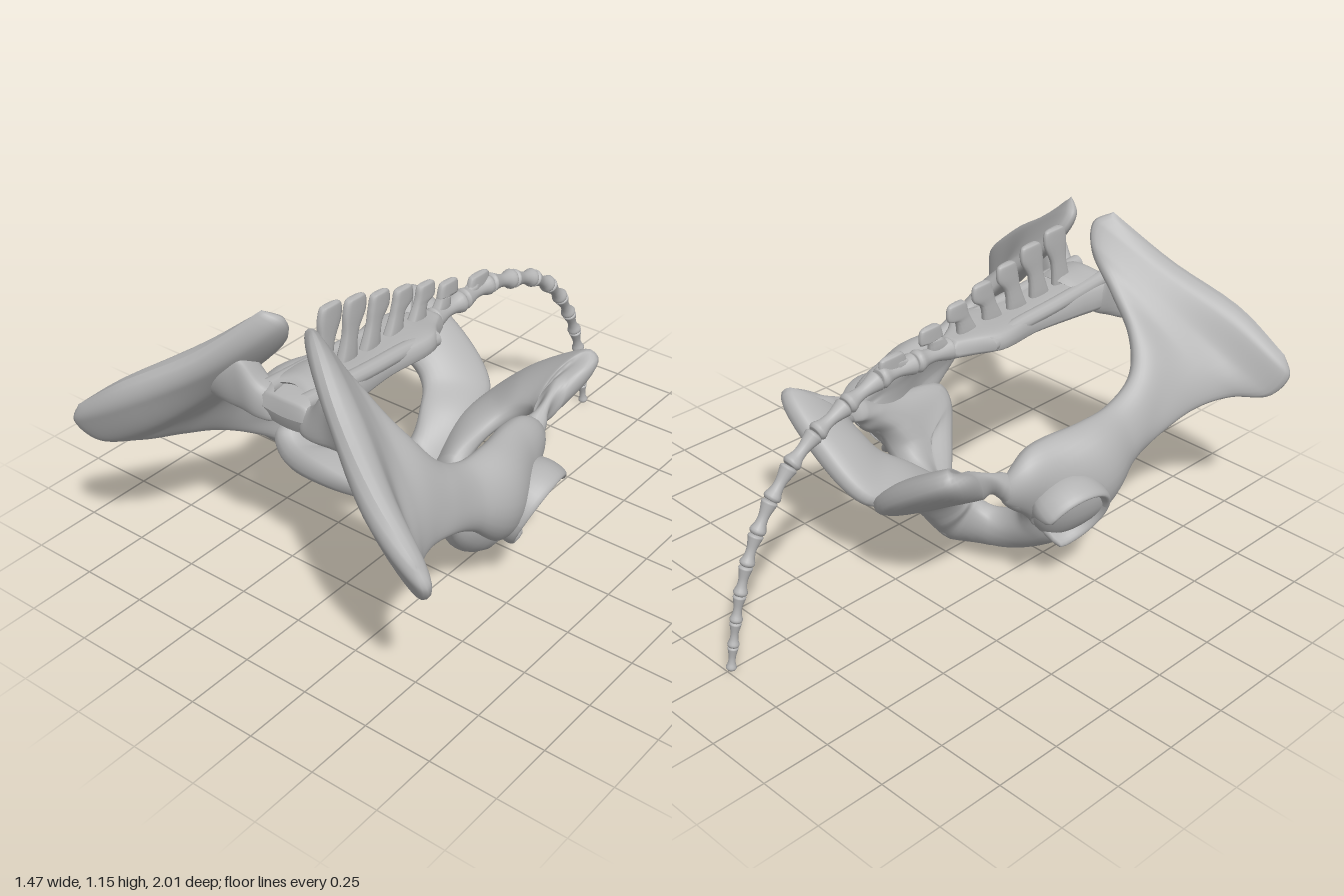
import * as THREE from 'three';

const V = (x, y, z) => new THREE.Vector3(x, y, z);
const bone = new THREE.MeshStandardMaterial({ color: 0xb4b4b4 });
bone.name = 'bone grey';

// Smooth bony blade. Each row is a cross-section: points from edge to edge, then the thickness.
// Open blades round off at both ends, closed ones form a ring around a hole.
function blade(rows, { side = 1, closed = false, round = 0.7, sub = 7, seg = 28, flat = 0.75 } = {}) {
  const cols = [];
  for (let k = 0; k < rows[0].length - 1; k += 3) {
    cols.push(new THREE.CatmullRomCurve3(rows.map(r => V(r[k] * side, r[k + 1], r[k + 2])), closed));
  }
  const thick = new THREE.CatmullRomCurve3(rows.map((r, i) => V(r[r.length - 1], closed ? 0 : i * 0.1, 0)), closed);
  const section = t => new THREE.CatmullRomCurve3(cols.map(c => c.getPoint(t)));
  const spans = closed ? rows.length : rows.length - 1;
  const n = spans * sub, lines = closed ? n : n + 1, e = 0.004;
  const lim = t => closed ? t : Math.min(1, Math.max(0, t));
  const pos = [], idx = [];
  for (let i = 0; i < lines; i++) {
    const t = i / n;
    const d = closed ? round : Math.min(t, 1 - t) * spans;
    const cap = d < round ? Math.sqrt(Math.max(0, 1 - (1 - d / round) ** 2)) : 1;
    const half = thick.getPoint(t).x * 0.5 * cap;
    const here = section(t), ahead = section(lim(t + e)), behind = section(lim(t - e));
    for (let j = 0; j < seg; j++) {
      const ang = j / seg * Math.PI * 2, s = 0.5 - 0.5 * Math.cos(ang), sn = Math.sin(ang);
      const ds = here.getPoint(Math.min(1, s + e)).sub(here.getPoint(Math.max(0, s - e)));
      const dt = ahead.getPoint(s).sub(behind.getPoint(s));
      const nor = ds.cross(dt).normalize();
      const p = here.getPoint(s).addScaledVector(nor, Math.sign(sn) * Math.abs(sn) ** flat * half);
      pos.push(p.x, p.y, p.z);
    }
  }
  for (let i = 0; i < n; i++) for (let j = 0; j < seg; j++) {
    const k = (j + 1) % seg, r0 = i * seg, r1 = ((i + 1) % lines) * seg;
    idx.push(r0 + j, r0 + k, r1 + j, r0 + k, r1 + k, r1 + j);
  }
  // keep faces outward by checking the enclosed volume
  let vol = 0;
  const pt = i => V(pos[3 * i], pos[3 * i + 1], pos[3 * i + 2]);
  for (let i = 0; i < idx.length; i += 3) vol += pt(idx[i]).dot(pt(idx[i + 1]).cross(pt(idx[i + 2])));
  if (vol < 0) idx.reverse();
  const g = new THREE.BufferGeometry();
  g.setAttribute('position', new THREE.Float32BufferAttribute(pos, 3));
  g.setIndex(idx);
  g.computeVertexNormals();
  return g;
}

// Hip socket: a turned cup whose lower rear rim is worn away into a notch
function socket(side) {
  const prof = [[0.07, -0.13], [0.125, -0.1], [0.152, -0.05], [0.157, 0.005], [0.148, 0.03],
    [0.132, 0.025], [0.115, -0.01], [0.085, -0.045], [0.045, -0.065], [0.0, -0.07]];
  const curve = new THREE.SplineCurve(prof.map(p => new THREE.Vector2(...p)));
  const g = new THREE.LatheGeometry(curve.getPoints(28).map(p => p.setX(Math.max(0, p.x))), 40);
  const axis = V(0.87 * side, -0.42, -0.12).normalize();
  g.applyQuaternion(new THREE.Quaternion().setFromUnitVectors(V(0, 1, 0), axis));
  const notch = V(0, -0.6, -0.8).projectOnPlane(axis).normalize(), p = g.attributes.position;
  for (let i = 0; i < p.count; i++) {
    const v = V(0, 0, 0).fromBufferAttribute(p, i), h = v.dot(axis);
    const flatPart = v.clone().projectOnPlane(axis);
    const k = THREE.MathUtils.smoothstep(flatPart.clone().normalize().dot(notch), 0.5, 0.95);
    v.addScaledVector(axis, -k * Math.max(0, h + 0.07) * 0.9).addScaledVector(flatPart, -0.25 * k);
    p.setXYZ(i, v.x, v.y, v.z);
  }
  g.computeVertexNormals();
  return g.translate(0.495 * side, 0.335, 0.105);
}

// from the crest of the wing, through the shaft, to behind the socket
const ILIUM = [
  [0.10, 1.15, 0.73, 0.29, 0.985, 0.845, 0.52, 0.845, 0.955, 0.70, 0.71, 0.99, 0.10],
  [0.05, 1.115, 0.685, 0.29, 0.93, 0.80, 0.52, 0.78, 0.925, 0.735, 0.64, 0.985, 0.11],
  [0.075, 1.04, 0.645, 0.30, 0.86, 0.74, 0.50, 0.69, 0.86, 0.69, 0.56, 0.94, 0.10],
  [0.19, 0.93, 0.62, 0.33, 0.80, 0.69, 0.48, 0.66, 0.77, 0.59, 0.55, 0.85, 0.085],
  [0.31, 0.81, 0.59, 0.39, 0.73, 0.62, 0.47, 0.62, 0.67, 0.53, 0.53, 0.72, 0.08],
  [0.385, 0.69, 0.52, 0.435, 0.63, 0.53, 0.47, 0.55, 0.55, 0.50, 0.48, 0.57, 0.08],
  [0.395, 0.62, 0.40, 0.44, 0.56, 0.40, 0.47, 0.47, 0.41, 0.46, 0.385, 0.41, 0.10],
  [0.385, 0.60, 0.25, 0.46, 0.53, 0.25, 0.49, 0.40, 0.26, 0.43, 0.25, 0.25, 0.13],
  [0.37, 0.60, 0.10, 0.42, 0.51, 0.10, 0.43, 0.36, 0.12, 0.38, 0.21, 0.13, 0.13],
  [0.36, 0.58, 0.01, 0.40, 0.51, 0.0, 0.39, 0.42, 0.0, 0.36, 0.33, 0.02, 0.11],
  [0.365, 0.51, -0.09, 0.375, 0.48, -0.10, 0.375, 0.45, -0.10, 0.36, 0.42, -0.09, 0.08],
];
// cross-sections running around the opening in the pelvic floor, hole edge to outer edge
const FLOOR = [
  [0.325, 0.42, -0.05, 0.37, 0.43, -0.02, 0.42, 0.44, 0.02, 0.12],
  [0.325, 0.36, 0.02, 0.38, 0.33, 0.15, 0.415, 0.40, 0.36, 0.15],
  [0.30, 0.29, 0.055, 0.35, 0.24, 0.18, 0.37, 0.33, 0.38, 0.17],
  [0.25, 0.25, 0.06, 0.29, 0.185, 0.15, 0.275, 0.22, 0.30, 0.15],
  [0.17, 0.235, 0.06, 0.18, 0.14, 0.09, 0.17, 0.125, 0.19, 0.12],
  [0.12, 0.27, 0.03, 0.06, 0.16, 0.02, -0.02, 0.06, 0.03, 0.10],
  [0.11, 0.30, -0.01, 0.05, 0.24, -0.04, -0.02, 0.18, -0.07, 0.10],
  [0.14, 0.36, -0.09, 0.06, 0.335, -0.14, -0.02, 0.31, -0.19, 0.09],
  [0.18, 0.41, -0.16, 0.10, 0.39, -0.26, 0.02, 0.365, -0.36, 0.10],
  [0.23, 0.445, -0.19, 0.21, 0.48, -0.30, 0.19, 0.51, -0.42, 0.12],
  [0.29, 0.47, -0.19, 0.35, 0.565, -0.29, 0.41, 0.66, -0.385, 0.11],
  [0.33, 0.465, -0.15, 0.35, 0.53, -0.20, 0.365, 0.60, -0.24, 0.08],
  [0.33, 0.45, -0.10, 0.355, 0.49, -0.10, 0.38, 0.53, -0.10, 0.08],
];
// z, half width, height and thickness along the fused vertebrae
const SACRUM = [[0.77, 0.10, 0.825, 0.11], [0.70, 0.12, 0.83, 0.13], [0.58, 0.115, 0.835, 0.13],
  [0.36, 0.10, 0.83, 0.10], [0.16, 0.125, 0.835, 0.09], [0.07, 0.07, 0.83, 0.08], [0.0, 0.035, 0.83, 0.07]];
// rounded lobe on each side of the front end
const LOBE = [
  [0.04, 0.77, 0.71, 0.04, 0.87, 0.70, 0.11],
  [0.11, 0.77, 0.72, 0.11, 0.89, 0.72, 0.11],
  [0.185, 0.775, 0.72, 0.185, 0.985, 0.75, 0.10],
  [0.26, 0.785, 0.73, 0.255, 0.945, 0.785, 0.08],
  [0.31, 0.81, 0.74, 0.32, 0.89, 0.79, 0.07],
  [0.325, 0.84, 0.76, 0.335, 0.87, 0.78, 0.05],
];
// upright spines shrinking toward the tail: base z, top z, top y, top half-width
const SPINES = [[0.585, 0.53, 1.12, 0.062], [0.47, 0.41, 1.095, 0.06], [0.355, 0.29, 1.06, 0.056], [0.235, 0.17, 1.025, 0.055],
  [0.11, 0.05, 0.99, 0.055], [-0.03, -0.075, 0.945, 0.06], [-0.2, -0.25, 0.90, 0.07]];

export function createModel() {
  const model = new THREE.Group();
  const add = (name, geo, parent = model) => {
    const mesh = new THREE.Mesh(geo, bone);
    mesh.name = name;
    parent.add(mesh);
    return mesh;
  };

  for (const side of [1, -1]) {
    const hip = new THREE.Group();
    hip.name = side > 0 ? 'leftHipBone' : 'rightHipBone';
    model.add(hip);
    add('iliumWing', blade(ILIUM, { side, sub: 9, seg: 40, round: 1 }), hip);
    add('pelvicFloor', blade(FLOOR, { side, closed: true }), hip);
    add('hipSocket', socket(side), hip);

    add('sacralLobe', blade(LOBE, { side, flat: 0.6 }));
    const ridge = new THREE.CatmullRomCurve3([V(0.075 * side, 0.895, 0.75), V(0.08 * side, 0.87, 0.45),
      V(0.08 * side, 0.855, 0.25), V(0.095 * side, 0.84, 0.12)]);
    add('sacralRidge', new THREE.TubeGeometry(ridge, 24, 0.028, 12));
  }

  add('sacrumBody', blade(SACRUM.map(([z, w, y, t]) => [-w, y + 0.01, z, 0, y, z, w, y + 0.01, z, t]),
    { round: 0.3, flat: 0.5 }));
  // arch over the canal at the front of the sacrum
  add('sacralArch', blade([0.73, 0.66, 0.56].map(z => [-0.085, 0.90, z, 0, 0.915, z - 0.02, 0.085, 0.90, z, 0.035])));

  for (const [zb, zt, yt, w] of SPINES) {
    const zm = (zb + zt) / 2, ym = (yt + 0.84) / 2;
    add('spine', blade([
      [0, 0.82, zb + 0.06, 0, 0.82, zb - 0.05, 0.05],
      [0, ym, zm + 0.033, 0, ym, zm - 0.035, 0.032],
      [0, yt - 0.045, zt + w * 0.9, 0, yt - 0.06, zt - w * 0.75, 0.032],
      [0, yt - 0.005, zt + w * 0.65, 0, yt - 0.012, zt - w * 0.75, 0.03],
      [0, yt, zt + w * 0.3, 0, yt, zt - w * 0.45, 0.02]], { seg: 16, sub: 5, round: 0.6 }));
  }

  // tail: spool-shaped vertebrae along a drooping curve
  const tail = new THREE.Group();
  tail.name = 'tail';
  model.add(tail);
  const path = new THREE.CatmullRomCurve3([[0.83, 0.02], [0.835, -0.15], [0.835, -0.3], [0.80, -0.42], [0.765, -0.53],
    [0.70, -0.65], [0.61, -0.75], [0.50, -0.83], [0.36, -0.9], [0.19, -0.95], [0.005, -0.985]].map(([y, z]) => V(0, y, z)));
  const spool = new THREE.SplineCurve([[0.7, 0], [1, 0.06], [0.92, 0.16], [0.66, 0.45], [0.72, 0.7], [1.02, 0.9], [0.75, 1]]
    .map(p => new THREE.Vector2(...p))).getPoints(18);
  const count = 12, ratio = 0.94, total = (1 - ratio ** count) / (1 - ratio);
  let u = 0;
  for (let i = 0; i < count; i++) {
    const next = Math.min(1, u + ratio ** i / total);
    const from = path.getPointAt(u), dir = path.getPointAt(next).sub(from);
    const r = 0.04 - 0.022 * Math.min(1, i / (count - 1));
    const ring = [new THREE.Vector2(0, 0), ...spool.map(p => new THREE.Vector2(p.x * r, p.y * dir.length())),
      new THREE.Vector2(0, dir.length())];
    const v = add('tailVertebra', new THREE.LatheGeometry(ring, 18), tail);
    v.position.copy(from);
    v.quaternion.setFromUnitVectors(V(0, 1, 0), dir.normalize());
    u = next;
  }
  return model;
}
